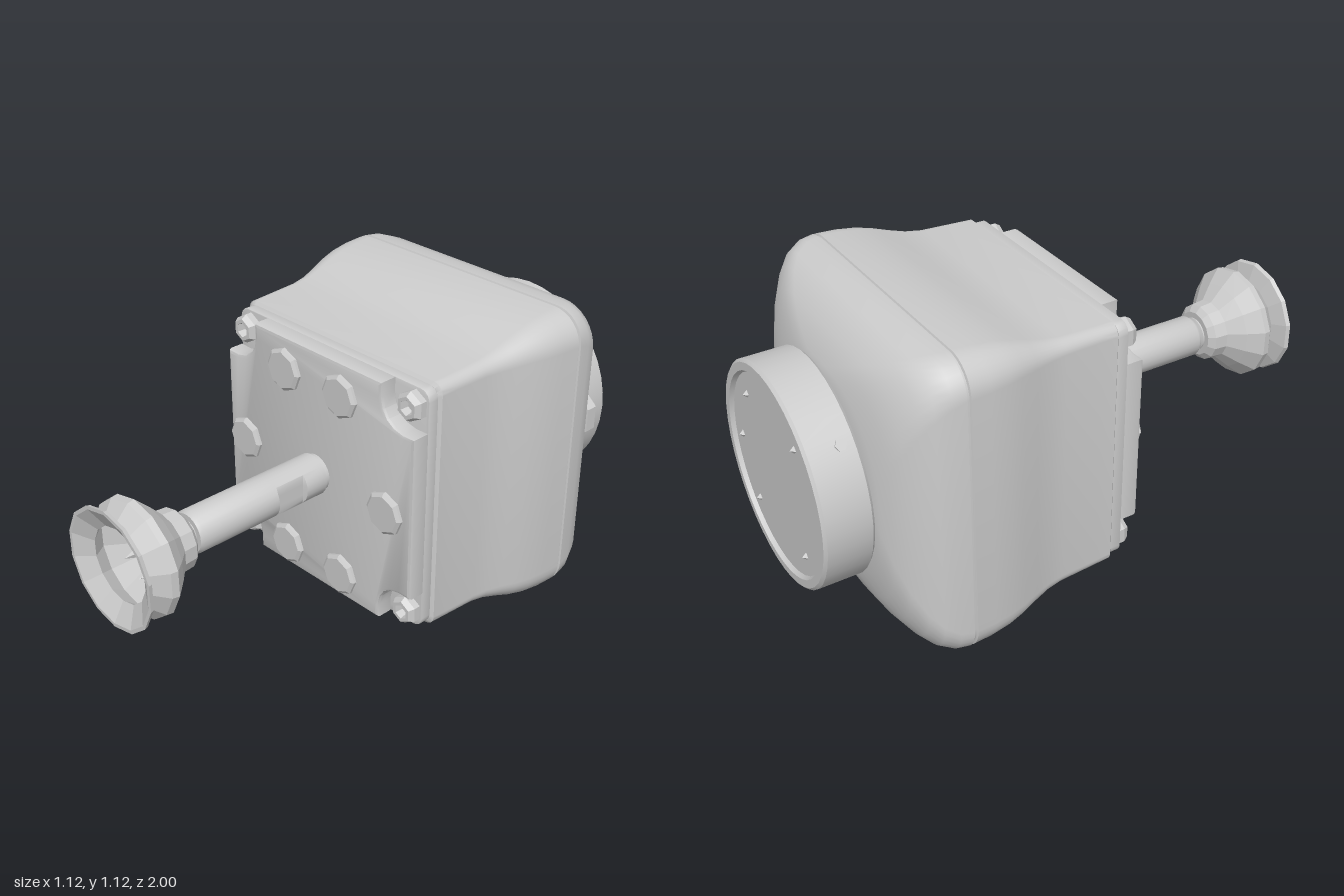
import * as THREE from 'three';
import { toCreasedNormals } from 'three/addons/utils/BufferGeometryUtils.js';

const CY = 0.565; // height of the main axis
const smooth = new THREE.MeshStandardMaterial({ color: 0xcccccc, side: THREE.DoubleSide });
const faceted = new THREE.MeshStandardMaterial({ color: 0xcccccc, side: THREE.DoubleSide, flatShading: true });

// Corner points of a rounded square, counter-clockwise seen from +z
function roundedSquare(half, radius, steps = 8) {
  const pts = [];
  for (let k = 0; k < 4; k++) {
    const c = half - radius;
    const mid = Math.PI / 4 + (k * Math.PI) / 2;
    for (let i = 0; i <= steps; i++) {
      const a = (k + i / steps) * Math.PI / 2;
      pts.push(new THREE.Vector2(
        Math.SQRT2 * c * Math.cos(mid) + radius * Math.cos(a),
        Math.SQRT2 * c * Math.sin(mid) + radius * Math.sin(a)));
    }
  }
  return pts;
}

// Loft through sections [z, half size, corner radius], front to back, with caps
function loft(sections) {
  const pos = [], idx = [];
  for (const [z, half, r] of sections) {
    for (const p of roundedSquare(half, r)) pos.push(p.x, p.y, z);
  }
  const n = pos.length / 3 / sections.length;
  const front = pos.length / 3, back = front + 1, last = (sections.length - 1) * n;
  pos.push(0, 0, sections[0][0], 0, 0, sections[sections.length - 1][0]);
  for (let j = 0; j < n; j++) {
    const k = (j + 1) % n;
    for (let s = 0; s < last; s += n) {
      idx.push(s + j, s + n + j, s + k, s + k, s + n + j, s + n + k);
    }
    idx.push(front, j, k, back, last + k, last + j);
  }
  const g = new THREE.BufferGeometry();
  g.setAttribute('position', new THREE.Float32BufferAttribute(pos, 3));
  g.setIndex(idx);
  return toCreasedNormals(g, 0.6);
}

// Lathe about the z axis; profile is [radius, z] from back to front
function turned(profile, sides) {
  return new THREE.LatheGeometry(profile.map(p => new THREE.Vector2(...p)), sides).rotateX(Math.PI / 2);
}

function plate(points, z, depth, bevel) {
  return new THREE.ExtrudeGeometry(new THREE.Shape(points), {
    depth: depth - 2 * bevel, bevelThickness: bevel, bevelSize: bevel, bevelOffset: -bevel, bevelSegments: 2,
  }).translate(0, 0, z + bevel);
}

export function createModel() {
  const model = new THREE.Group();
  const add = (name, geometry, material, x = 0, y = 0, z = 0) => {
    const mesh = new THREE.Mesh(geometry, material);
    mesh.name = name;
    mesh.position.set(x, y + CY, z);
    model.add(mesh);
    return mesh;
  };

  // Housing: square front flaring to a domed back, with a seam groove
  add('housing', loft([
    [0.02, 0.462, 0.035], [0.01, 0.474, 0.04], [-0.05, 0.476, 0.04], [-0.19, 0.482, 0.045],
    [-0.25, 0.492, 0.055], [-0.31, 0.510, 0.07], [-0.37, 0.530, 0.085], [-0.43, 0.546, 0.1],
    [-0.50, 0.556, 0.11], [-0.57, 0.56, 0.115], [-0.573, 0.554, 0.115], [-0.58, 0.554, 0.115],
    [-0.583, 0.56, 0.115], [-0.63, 0.557, 0.125], [-0.68, 0.541, 0.145], [-0.72, 0.513, 0.17],
    [-0.76, 0.472, 0.21], [-0.79, 0.428, 0.26], [-0.81, 0.385, 0.32], [-0.82, 0.36, 0.34],
  ]), smooth);

  // Front plate: full base and a raised face with pockets in its corners
  add('plateBase', toCreasedNormals(plate(roundedSquare(0.463, 0.04, 5), 0.01, 0.05, 0.004), 0.6), smooth);
  const h = 0.463, face = [];
  for (let k = 0; k < 4; k++) {
    const pocket = new THREE.QuadraticBezierCurve(
      new THREE.Vector2(h, h - 0.15), new THREE.Vector2(h - 0.17, h - 0.17), new THREE.Vector2(h - 0.15, h));
    for (const p of pocket.getPoints(6)) face.push(p.rotateAround(new THREE.Vector2(), k * Math.PI / 2));
  }
  add('plateFace', toCreasedNormals(plate(face, 0.05, 0.075, 0.012), 0.5), smooth);

  // Corner screws with a six-sided socket
  const screw = turned([[0.055, 0.05], [0.055, 0.085], [0.042, 0.105], [0.028, 0.105], [0.022, 0.075], [0, 0.075]], 6);
  for (const x of [-0.405, 0.405]) {
    for (const y of [-0.4, 0.4]) add('cornerScrew', screw, faceted, x, y);
  }

  // Six flat bumper pads on the face
  const pad = turned([[0.05, 0.12], [0.05, 0.133], [0.08, 0.138], [0.08, 0.148], [0.068, 0.157], [0, 0.157]], 8);
  for (const [x, y] of [[0.138, 0.355], [0.355, 0], [0.138, -0.355]]) {
    add('pad', pad, faceted, x, y);
    add('pad', pad, faceted, -x, y);
  }

  // Shaft with two wrench flats
  const shaft = turned([[0.068, 0.11], [0.068, 0.14], [0.077, 0.145], [0.077, 0.235], [0.077, 0.24], [0.077, 0.355],
    [0.077, 0.36], [0.077, 0.68], [0.07, 0.692], [0.05, 0.692], [0.05, 0.705], [0.062, 0.71], [0.062, 0.73]], 24);
  const sp = shaft.attributes.position;
  for (let i = 0; i < sp.count; i++) {
    if (sp.getZ(i) > 0.237 && sp.getZ(i) < 0.358) sp.setX(i, THREE.MathUtils.clamp(sp.getX(i), -0.058, 0.058));
  }
  add('shaft', toCreasedNormals(shaft, 0.6), smooth);

  // Bellows suction cup: outer wall, lip, then inner wall back to the floor
  add('suctionCup', turned([
    [0, 0.715], [0.085, 0.715], [0.108, 0.735], [0.112, 0.785], [0.165, 0.835], [0.212, 0.885], [0.208, 0.91],
    [0.15, 0.965], [0.213, 0.985], [0.218, 1], [0.205, 1], [0.135, 0.96], [0.185, 0.9], [0.1, 0.83], [0, 0.83],
  ], 14), faceted);

  // Radial cleats inside the cup
  for (let i = 0; i < 6; i++) {
    const cleat = new THREE.ConeGeometry(0.022, 0.07, 4).rotateX(Math.PI / 2).translate(0.085, 0, 0.86);
    add('cupCleat', cleat, faceted).rotation.z = (i + 0.5) * Math.PI / 3;
  }

  // Rear mounting ring with a recessed disc
  add('rearRing', toCreasedNormals(turned([
    [0, -0.985], [0.347, -0.985], [0.355, -1], [0.383, -1], [0.393, -0.99], [0.393, -0.835], [0.383, -0.825], [0.36, -0.825],
  ], 40), 0.5), smooth);

  // Small studs on the rear disc
  for (const a of [0, 48, 132, 228, 312]) {
    const r = THREE.MathUtils.degToRad(a);
    add('rearStud', new THREE.OctahedronGeometry(0.02), faceted, 0.28 * Math.cos(r), 0.28 * Math.sin(r), -0.98);
  }

  // Side lug, lower boss and upper pin around the ring
  const lug = new THREE.CylinderGeometry(0.032, 0.055, 0.06, 4, 1, false, Math.PI / 4).rotateZ(-Math.PI / 2);
  lug.scale(1, 2, 1);
  add('sideLug', lug, faceted, 0.405, 0.01, -0.865);
  for (const [name, a, size] of [['lowerBoss', -95, 0.03], ['upperPin', 140, 0.02]]) {
    const r = THREE.MathUtils.degToRad(a);
    const boss = new THREE.CylinderGeometry(size, size, 0.02, 6).rotateZ(-Math.PI / 2);
    add(name, boss, faceted, 0.388 * Math.cos(r), 0.388 * Math.sin(r), -0.88).rotation.z = r;
  }

  return model;
}
